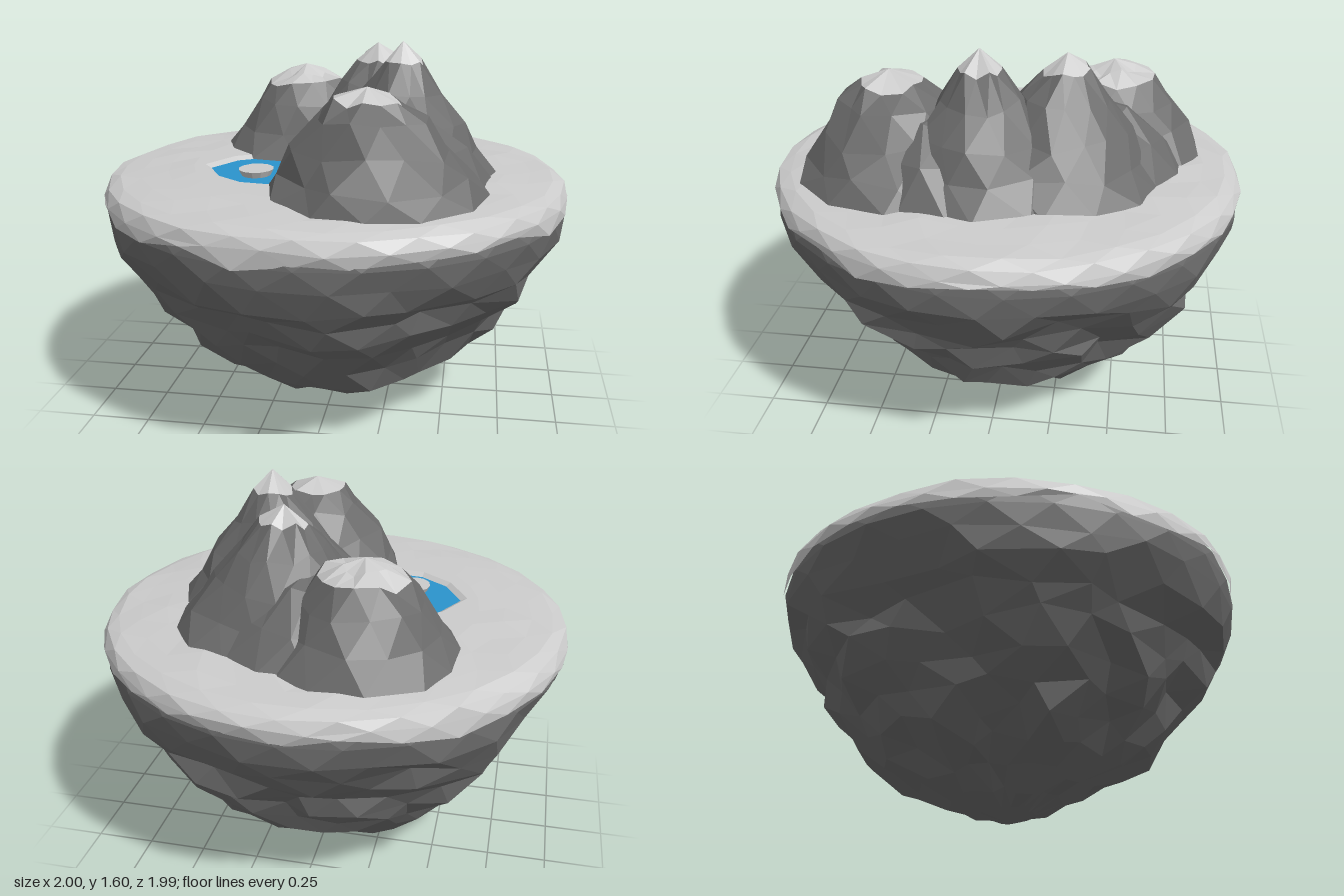
import * as THREE from 'three';

const grey = new THREE.MeshStandardMaterial({ color: 0xcccccc, flatShading: true });
const rock = new THREE.MeshStandardMaterial({ color: 0x6c6c6c, flatShading: true });
const blue = new THREE.MeshStandardMaterial({ color: 0x2b94cc, flatShading: true });

// Repeatable value in -1..1 from three numbers
function noise(a, b, c) {
  const s = Math.sin(a * 12.9898 + b * 78.233 + c * 37.719) * 43758.5453;
  return (s - Math.floor(s)) * 2 - 1;
}

// Rough turned shape: profile [r, y] from bottom to top, each row turned by
// half a segment, points moved by a rule
function roughLathe(profile, segs, move, firstRow = 0) {
  const geo = new THREE.LatheGeometry(profile.map(([r, y]) => new THREE.Vector2(r, y)), segs);
  const pos = geo.attributes.position;
  const rows = profile.length;
  for (let i = 0; i < pos.count; i++) {
    const row = (i % rows) + firstRow, seg = Math.floor(i / rows) % segs;
    const [r0, y0] = profile[i % rows];
    const a0 = ((seg + row / 2) / segs) * Math.PI * 2;
    const [r, y, a] = r0 === 0 ? [0, y0, a0] : move(r0, y0, a0, row, seg);
    pos.setXYZ(i, r * Math.sin(a), y, r * Math.cos(a));
  }
  const flat = geo.toNonIndexed();
  flat.computeVertexNormals();
  return flat;
}

function add(parent, name, geo, material) {
  const mesh = new THREE.Mesh(geo, material);
  mesh.name = name;
  parent.add(mesh);
  return mesh;
}

// Horizontal polygon from [x, z] points, facing up
function flatShape(points, y, hole) {
  const toVec = ([x, z]) => new THREE.Vector2(x, -z);
  const shape = new THREE.Shape(points.map(toVec));
  if (hole) shape.holes.push(new THREE.Path(hole.map(toVec)));
  return new THREE.ShapeGeometry(shape).rotateX(-Math.PI / 2).translate(0, y, 0);
}

// Mountain with a lighter cap from profile row capRow up (no cap if that is the last row)
function mountain(parent, { name, x, z, segs, capRow, seed, lean, profile }) {
  const group = new THREE.Group();
  group.name = name;
  group.position.set(x, 0, z);
  const move = (r, y, a, row, seg) => [
    r * (1 + (row === 0 ? 0.03 : 0.08) * noise(seg, row, seed)),
    row === 0 ? y : y + 0.02 * noise(seg, row, seed + 5),
    a + (0.3 / segs) * Math.PI * noise(seg, row, seed + 9),
  ];
  const baseY = profile[0][1], topY = profile[profile.length - 1][1];
  const parts = [
    ['slopes', profile.slice(0, capRow + 1), 0, rock],
    ['snowCap', profile.slice(capRow), capRow, grey],
  ].filter(([, rows]) => rows.length > 1);
  for (const [part, rows, first, material] of parts) {
    const geo = roughLathe(rows, segs, move, first);
    const p = geo.attributes.position;
    for (let i = 0; i < p.count; i++) {
      const t = (p.getY(i) - baseY) / (topY - baseY);
      p.setX(i, p.getX(i) + lean[0] * t);
      p.setZ(i, p.getZ(i) + lean[1] * t);
    }
    geo.computeVertexNormals();
    add(group, part, geo, material);
  }
  parent.add(group);
}

export function createModel() {
  const island = new THREE.Group();
  island.name = 'floatingIsland';

  // Hanging rock with upright flutes and lumps that fade towards the rim,
  // its lower part fuller at the back
  const rockProfile = [
    [0, 0], [0.12, 0.03], [0.24, 0.075], [0.36, 0.135], [0.49, 0.2], [0.6, 0.28], [0.675, 0.37],
    [0.745, 0.46], [0.81, 0.55], [0.865, 0.64], [0.93, 0.73], [0.98, 0.82], [0.992, 0.91], [0.975, 0.985],
  ];
  add(island, 'rockBase', roughLathe(rockProfile, 26, (r, y, a, row, seg) => {
    const fade = Math.min(1, Math.max(0, (0.9 - y) / 0.2));
    const lumps = 0.03 * Math.sin(5 * a + 2 * y) + 0.025 * Math.sin(8 * a + 9 * y + 1);
    const rough = 0.05 * noise(seg, row, 3);
    const back = -0.07 * Math.cos(a) * Math.max(0, 1 - y / 0.6);
    return [
      Math.min(0.992, r * (1 + fade * (lumps + rough + back))),
      Math.max(0.01, y + 0.03 * Math.min(1, r * 2) * fade * noise(seg, row, 8)),
      a + 0.06 * fade * noise(seg, row, 12),
    ];
  }), rock);

  // Rounded rim of the ground, with an uneven lower edge
  const groundSegs = 28, innerR = 0.62, groundY = 1.06;
  const rimProfile = [
    [0.998, 0.925], [1, 0.975], [0.98, 1.015], [0.93, 1.037], [0.84, 1.048], [0.73, 1.055], [innerR, groundY],
  ];
  add(island, 'groundRim', roughLathe(rimProfile, groundSegs, (r, y, a, row, seg) => {
    const amp = [0.03, 0.012, 0.009, 0.007, 0.006, 0.006, 0][row];
    return [Math.min(1, r * (1 + 0.5 * amp * noise(seg, row, 21))), y + amp * noise(seg, row, 25), a];
  }), grey);

  // Level ground with an opening for the pond
  const pond = [
    [-0.53, 0.13], [-0.45, -0.02], [-0.35, -0.08], [-0.2, -0.07], [-0.1, 0.0],
    [-0.07, 0.15], [-0.1, 0.3], [-0.18, 0.39], [-0.33, 0.37], [-0.45, 0.28],
  ];
  const shoreLine = pond.map(([x, z]) => [-0.3 + (x + 0.3) * 1.12, 0.15 + (z - 0.15) * 1.12]);
  const circle = [];
  for (let i = 0; i < groundSegs; i++) {
    const a = (i / groundSegs) * Math.PI * 2;
    circle.push([innerR * Math.sin(a), innerR * Math.cos(a)]);
  }
  add(island, 'groundTop', flatShape(circle, groundY, shoreLine), grey);

  // Sloping shore between ground and water
  const waterY = 1.045;
  const shore = [];
  pond.forEach((p, i) => {
    const j = (i + 1) % pond.length;
    const a = [shoreLine[i][0], groundY, shoreLine[i][1]], b = [shoreLine[j][0], groundY, shoreLine[j][1]];
    const c = [p[0], waterY, p[1]], d = [pond[j][0], waterY, pond[j][1]];
    shore.push(...a, ...c, ...b, ...b, ...c, ...d);
  });
  const shoreGeo = new THREE.BufferGeometry();
  shoreGeo.setAttribute('position', new THREE.Float32BufferAttribute(shore, 3));
  shoreGeo.computeVertexNormals();
  const shoreMaterial = grey.clone();
  shoreMaterial.side = THREE.DoubleSide;
  add(island, 'pondShore', shoreGeo, shoreMaterial);
  add(island, 'pondWater', flatShape(pond, waterY, null), blue);

  // Small flat stone in the pond
  const stone = add(island, 'pondStone', new THREE.CylinderGeometry(0.075, 0.06, 0.03, 12), grey);
  stone.position.set(-0.31, waterY + 0.012, 0.21);
  stone.scale.z = 1.12;

  // Mountain ridge
  mountain(island, {
    name: 'backRightMountain', x: -0.19, z: -0.42, segs: 13, capRow: 3, seed: 2, lean: [-0.02, -0.02],
    profile: [[0.41, 1.045], [0.325, 1.16], [0.25, 1.27], [0.185, 1.355], [0.09, 1.39], [0, 1.43]],
  });
  mountain(island, {
    name: 'frontMountain', x: 0.22, z: 0.41, segs: 12, capRow: 4, seed: 14, lean: [-0.03, 0.05],
    profile: [[0.44, 1.045], [0.375, 1.13], [0.305, 1.23], [0.215, 1.355], [0.13, 1.415], [0, 1.47]],
  });
  mountain(island, {
    name: 'tallestMountain', x: 0.27, z: 0.06, segs: 12, capRow: 4, seed: 31, lean: [0.02, 0.01],
    profile: [[0.43, 1.045], [0.35, 1.15], [0.26, 1.27], [0.17, 1.395], [0.085, 1.51], [0, 1.6]],
  });
  mountain(island, {
    name: 'backMountain', x: 0.19, z: -0.24, segs: 13, capRow: 4, seed: 47, lean: [-0.04, -0.02],
    profile: [[0.43, 1.045], [0.36, 1.14], [0.275, 1.26], [0.185, 1.38], [0.095, 1.485], [0, 1.555]],
  });

  // Low saddles that join neighbouring mountains
  mountain(island, {
    name: 'backSaddle', x: 0.03, z: -0.42, segs: 11, capRow: 3, seed: 61, lean: [0, 0.05],
    profile: [[0.34, 1.045], [0.25, 1.18], [0.13, 1.29], [0, 1.33]],
  });
  mountain(island, {
    name: 'frontSaddle', x: 0.31, z: 0.21, segs: 11, capRow: 3, seed: 73, lean: [-0.04, 0],
    profile: [[0.37, 1.045], [0.27, 1.19], [0.14, 1.31], [0, 1.35]],
  });

  return island;
}
